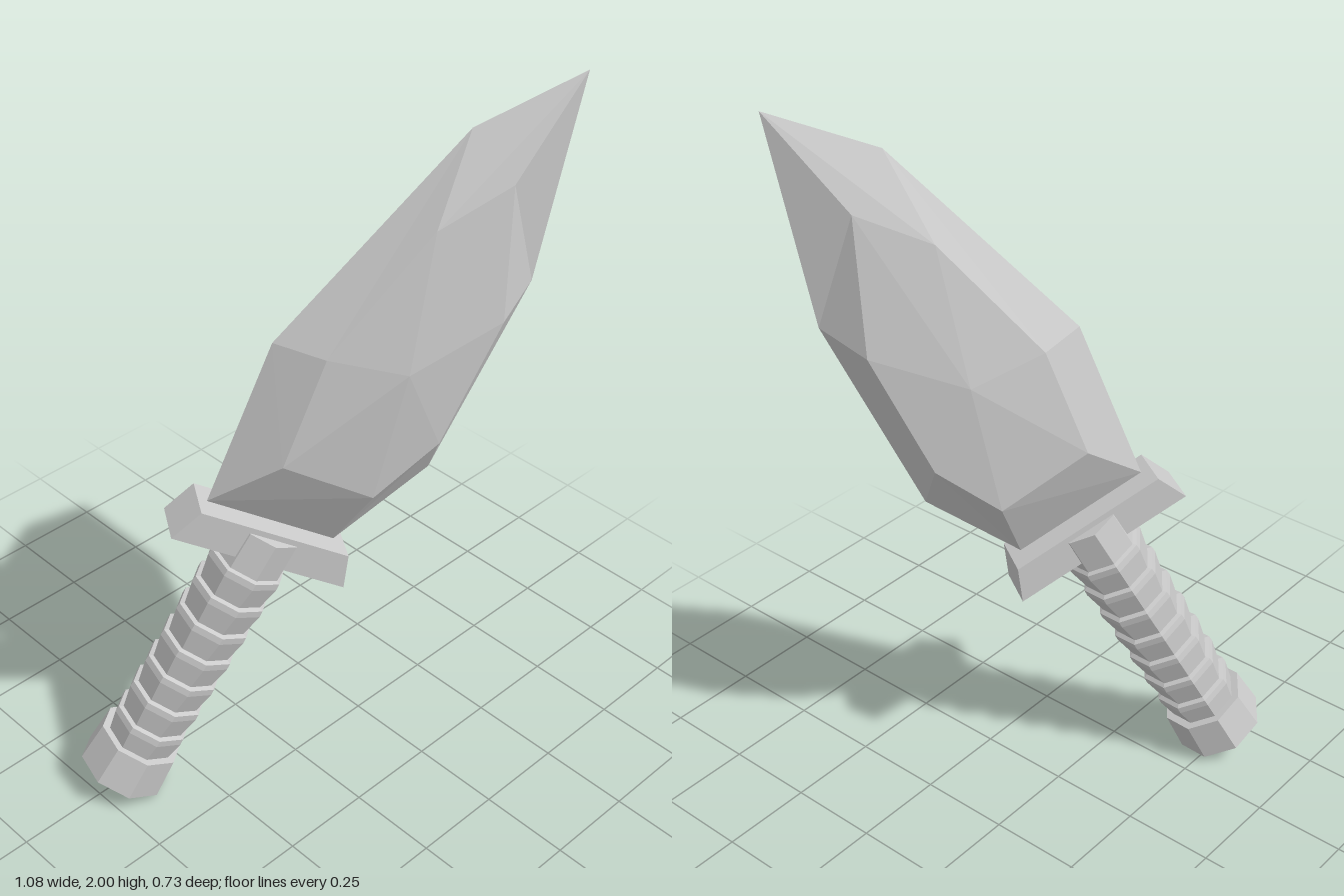
import * as THREE from 'three';

const material = new THREE.MeshStandardMaterial({ color: 0xcccccc, flatShading: true });

function part(name, geometry) {
  const mesh = new THREE.Mesh(geometry, material);
  mesh.name = name;
  return mesh;
}

// Eight-sided solid from [radius, height] pairs, bottom to top
function octagonal(profile) {
  const g = new THREE.LatheGeometry(profile.map(([r, y]) => new THREE.Vector2(r, y)), 8).toNonIndexed();
  g.computeVertexNormals();
  return g;
}

// Faceted blade: sharp outline, raised inner ring and a ridge point on both sides
function bladeGeometry() {
  const outline = [[-0.184, 0], [0.18, 0], [0.302, 0.285], [0.264, 0.847],
    [0.098, 1.354], [-0.078, 1.131], [-0.243, 0.469]].map(([x, y]) => [x, y, 0]);
  const ring = [[-0.096, 0.206, 0.09], [0.156, 0.207, 0.1], [0.234, 0.405, 0.095],
    [0.21, 0.757, 0.085], [0.057, 1.066, 0.06], [-0.06, 0.902, 0.075], [-0.139, 0.513, 0.085]];
  const peak = [0.053, 0.56, 0.116];
  const positions = [];
  for (const side of [1, -1]) {
    const tri = (a, b, c) => {
      for (const p of side > 0 ? [a, b, c] : [a, c, b]) positions.push(p[0], p[1], p[2] * side);
    };
    outline.forEach((p, i) => {
      const j = (i + 1) % outline.length;
      tri(p, outline[j], ring[j]);
      tri(p, ring[j], ring[i]);
      tri(ring[i], ring[j], peak);
    });
  }
  const g = new THREE.BufferGeometry();
  g.setAttribute('position', new THREE.Float32BufferAttribute(positions, 3));
  g.computeVertexNormals();
  return g;
}

// Crossguard: trapezoid with slanted ends, wider below
function guardGeometry() {
  const s = new THREE.Shape([[-0.247, -0.095], [0.247, -0.095], [0.21, 0], [-0.21, 0]]
    .map(([x, y]) => new THREE.Vector2(x, y)));
  return new THREE.ExtrudeGeometry(s, { depth: 0.124, bevelEnabled: false }).translate(0, 0, -0.062);
}

// Grip: a stack of flared bands, ending in a plain collar through the guard
function gripGeometry() {
  const bands = 7, bottom = -0.785, pitch = 0.094;
  const profile = [[0, bottom]];
  for (let i = 0; i < bands; i++) {
    const y = bottom + i * pitch;
    profile.push([0.093, y], [0.106, y + pitch * 0.75], [0.105, y + pitch * 0.95]);
  }
  profile.push([0.095, bottom + bands * pitch], [0.093, -0.016], [0, -0.016]);
  return octagonal(profile);
}

export function createModel() {
  const knife = new THREE.Group();
  knife.name = 'knife';
  knife.add(
    part('blade', bladeGeometry()),
    part('guard', guardGeometry()),
    part('grip', gripGeometry()),
    part('pommel', octagonal([[0, -0.895], [0.124, -0.895], [0.116, -0.775], [0, -0.775]])),
  );

  // Lean the whole knife and turn it about the vertical
  knife.rotation.set(0, THREE.MathUtils.degToRad(-32.3), THREE.MathUtils.degToRad(-28), 'YXZ');
  knife.position.set(-0.065, 0.85, -0.017);

  const model = new THREE.Group();
  model.name = 'leaningKnife';
  model.add(knife);
  return model;
}
